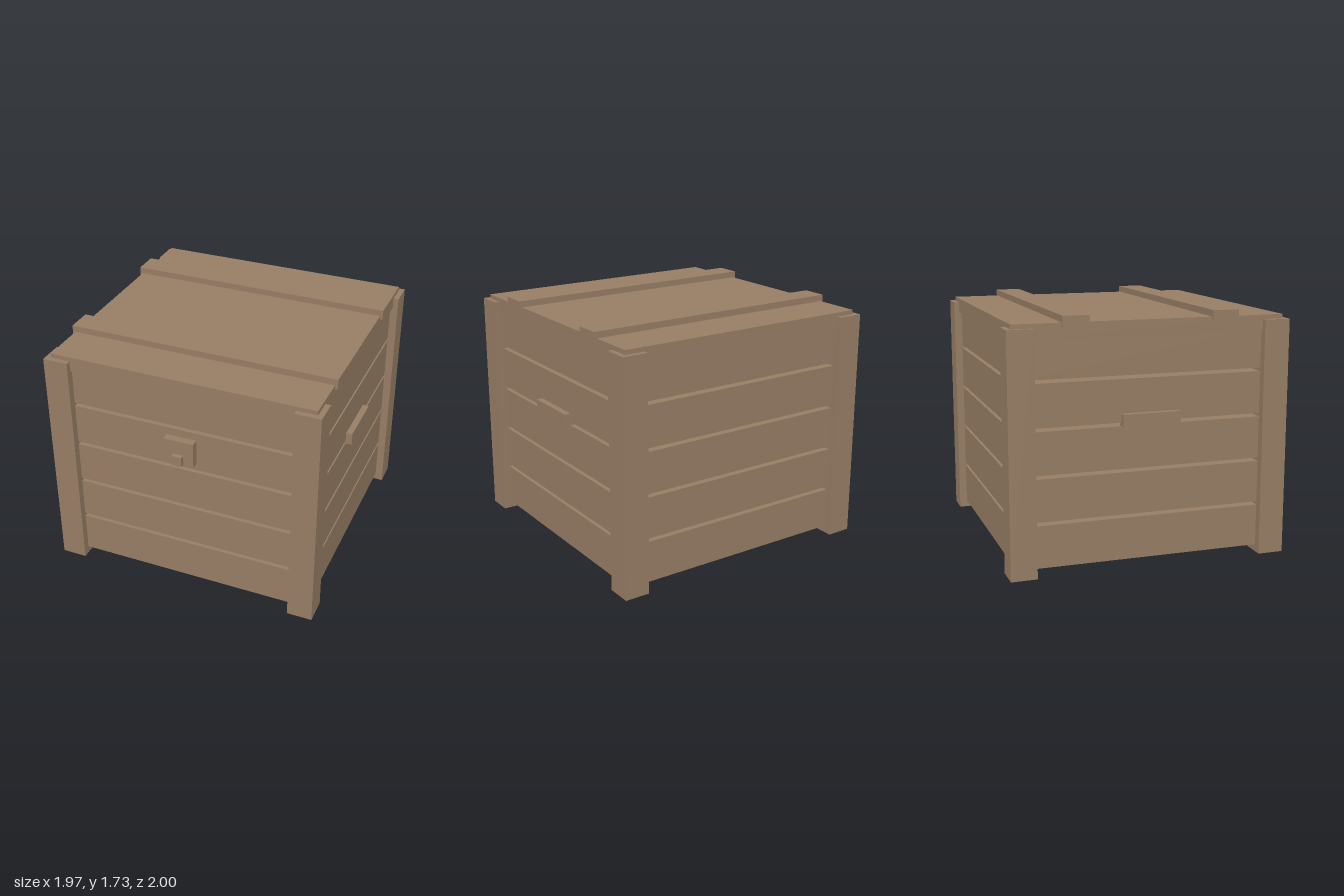
import * as THREE from 'three';

export function createModel() {
  const crate = new THREE.Group();
  crate.name = 'crate';
  const wood = new THREE.MeshStandardMaterial({ color: 0x967d64 });
  wood.name = 'brown wood';

  // Box given by its extents on each axis
  function box(name, [x0, x1], [y0, y1], [z0, z1]) {
    const mesh = new THREE.Mesh(new THREE.BoxGeometry(x1 - x0, y1 - y0, z1 - z0), wood);
    mesh.name = name;
    mesh.position.set((x0 + x1) / 2, (y0 + y1) / 2, (z0 + z1) / 2);
    crate.add(mesh);
  }

  // Corner posts
  for (const x of [[-0.983, -0.803], [0.803, 0.983]])
    for (const z of [[-1, -0.818], [0.785, 0.967]])
      box('cornerPost', x, [0, 1.655], z);

  // Plank layers with narrow gaps between them
  for (let i = 0; i < 5; i++) {
    const y = 0.052 + i * 0.317;
    box('plankLayer', [-0.927, 0.927], [y, y + 0.293], [-0.945, 0.912]);
  }

  // Lid and its two battens
  box('lid', [-0.945, 0.945], [1.577, 1.685], [-0.963, 0.93]);
  for (const z of [[-0.627, -0.445], [0.412, 0.595]])
    box('lidBatten', [-0.965, 0.965], [1.657, 1.73], z);

  // Side handles
  box('leftHandle', [0.9, 0.972], [0.977, 1.065], [-0.22, 0.185]);
  box('rightHandle', [-0.972, -0.9], [0.977, 1.065], [-0.22, 0.185]);

  // Front latch
  box('latchPlate', [-0.108, 0.108], [1.055, 1.24], [0.9, 0.967]);
  box('latchKnob', [-0.035, 0.035], [1.065, 1.135], [0.95, 1]);

  return crate;
}
